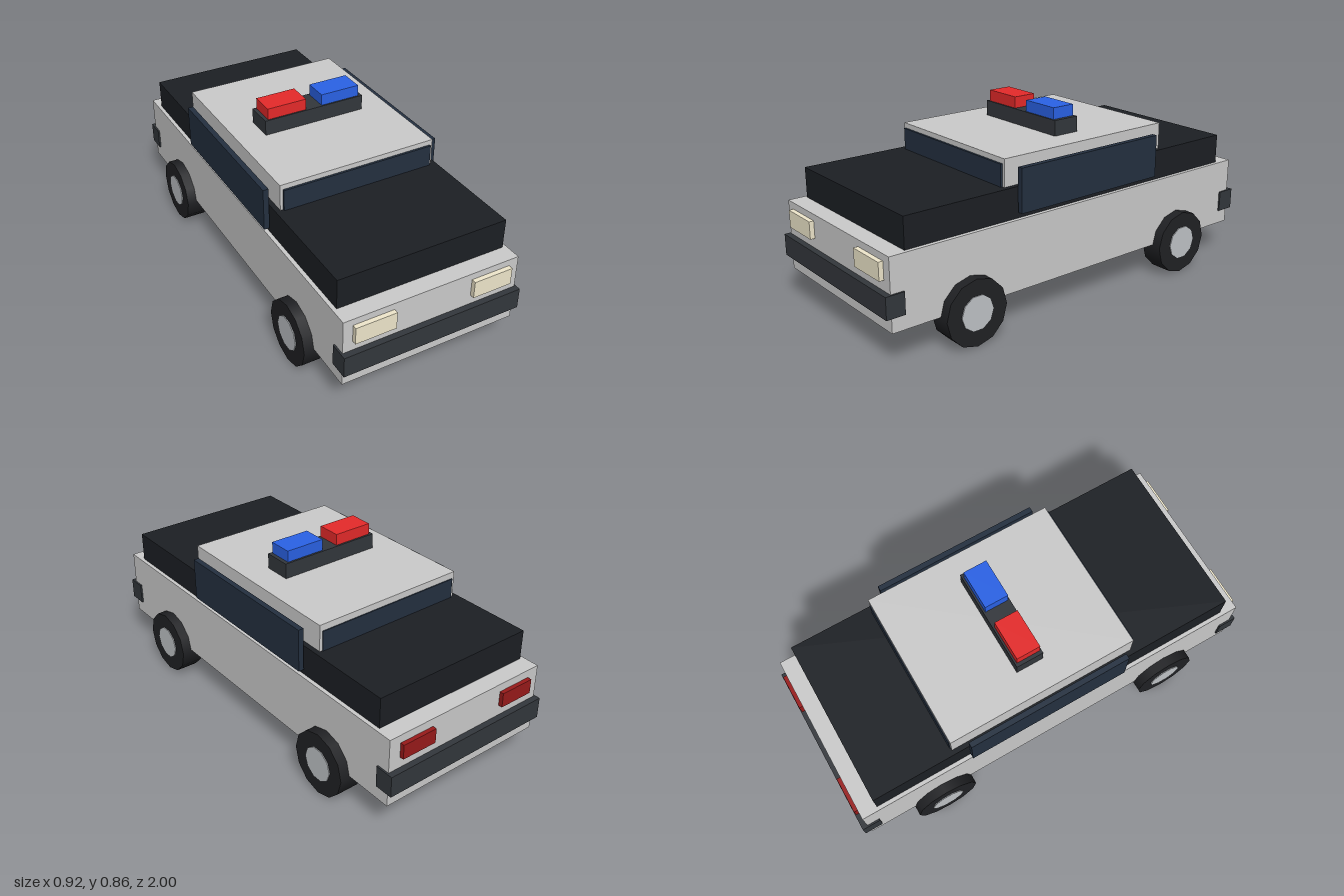
import * as THREE from 'three';

const mat = (color) => new THREE.MeshStandardMaterial({ color });

export function createModel() {
  const car = new THREE.Group();
  car.name = 'patrolCar';

  const paint = mat(0xcccccc), black = mat(0x1c1f24), glass = mat(0x243040);
  const trim = mat(0x33373c), red = mat(0xe62a2a), blue = mat(0x2a62e6);
  const lamp = mat(0xf0e8cc), tailRed = mat(0x991a1a), rubber = mat(0x202124);
  const hubMetal = mat(0xc0c4c8);

  // Box given by its extents on each axis
  const box = (name, material, [x0, x1], [y0, y1], [z0, z1]) => {
    const mesh = new THREE.Mesh(new THREE.BoxGeometry(x1 - x0, y1 - y0, z1 - z0), material);
    mesh.position.set((x0 + x1) / 2, (y0 + y1) / 2, (z0 + z1) / 2);
    mesh.name = name;
    car.add(mesh);
  };

  // Body, hood and trunk deck, cabin
  box('lowerBody', paint, [-0.41, 0.41], [0.158, 0.475], [-0.973, 0.973]);
  box('upperDeck', black, [-0.392, 0.392], [0.475, 0.612], [-0.893, 0.893]);
  box('cabin', paint, [-0.37, 0.37], [0.6, 0.733], [-0.503, 0.396]);

  // Glass
  box('windshield', glass, [-0.357, 0.357], [0.56, 0.71], [0.38, 0.406]);
  box('rearWindow', glass, [-0.357, 0.357], [0.56, 0.703], [-0.508, -0.485]);

  // Roof light bar
  box('lightBarBase', trim, [-0.243, 0.243], [0.733, 0.803], [-0.11, 0.018]);
  box('redBeacon', red, [-0.227, -0.04], [0.803, 0.855], [-0.101, 0.011]);
  box('blueBeacon', blue, [0.038, 0.225], [0.803, 0.855], [-0.101, 0.011]);

  // Bumpers
  box('frontBumper', trim, [-0.418, 0.418], [0.224, 0.321], [0.914, 1]);
  box('rearBumper', trim, [-0.418, 0.418], [0.224, 0.321], [-1, -0.914]);

  // Wheels: smooth-shaded low-poly tyre with a hub running through it
  const tyre = new THREE.CylinderGeometry(0.149, 0.149, 0.106, 12).rotateZ(Math.PI / 2);
  const hub = new THREE.CylinderGeometry(0.079, 0.079, 0.114, 10).rotateZ(Math.PI / 2);

  for (const side of [-1, 1]) {
    const span = (a, b) => (side > 0 ? [a, b] : [-b, -a]);
    const label = side > 0 ? 'left' : 'right';
    box(label + 'SideWindow', glass, span(0.397, 0.422), [0.502, 0.697], [-0.433, 0.347]);
    box(label + 'Headlight', lamp, span(0.182, 0.367), [0.366, 0.445], [0.95, 0.994]);
    box(label + 'TailLight', tailRed, span(0.187, 0.355), [0.371, 0.438], [-0.992, -0.95]);

    for (const z of [0.603, -0.6]) {
      const wheel = new THREE.Group();
      wheel.name = label + (z > 0 ? 'FrontWheel' : 'RearWheel');
      const tyreMesh = new THREE.Mesh(tyre, rubber);
      tyreMesh.name = 'tyre';
      const hubMesh = new THREE.Mesh(hub, hubMetal);
      hubMesh.name = 'hub';
      wheel.add(tyreMesh, hubMesh);
      wheel.position.set(side * 0.402, 0.149, z);
      car.add(wheel);
    }
  }
  return car;
}
